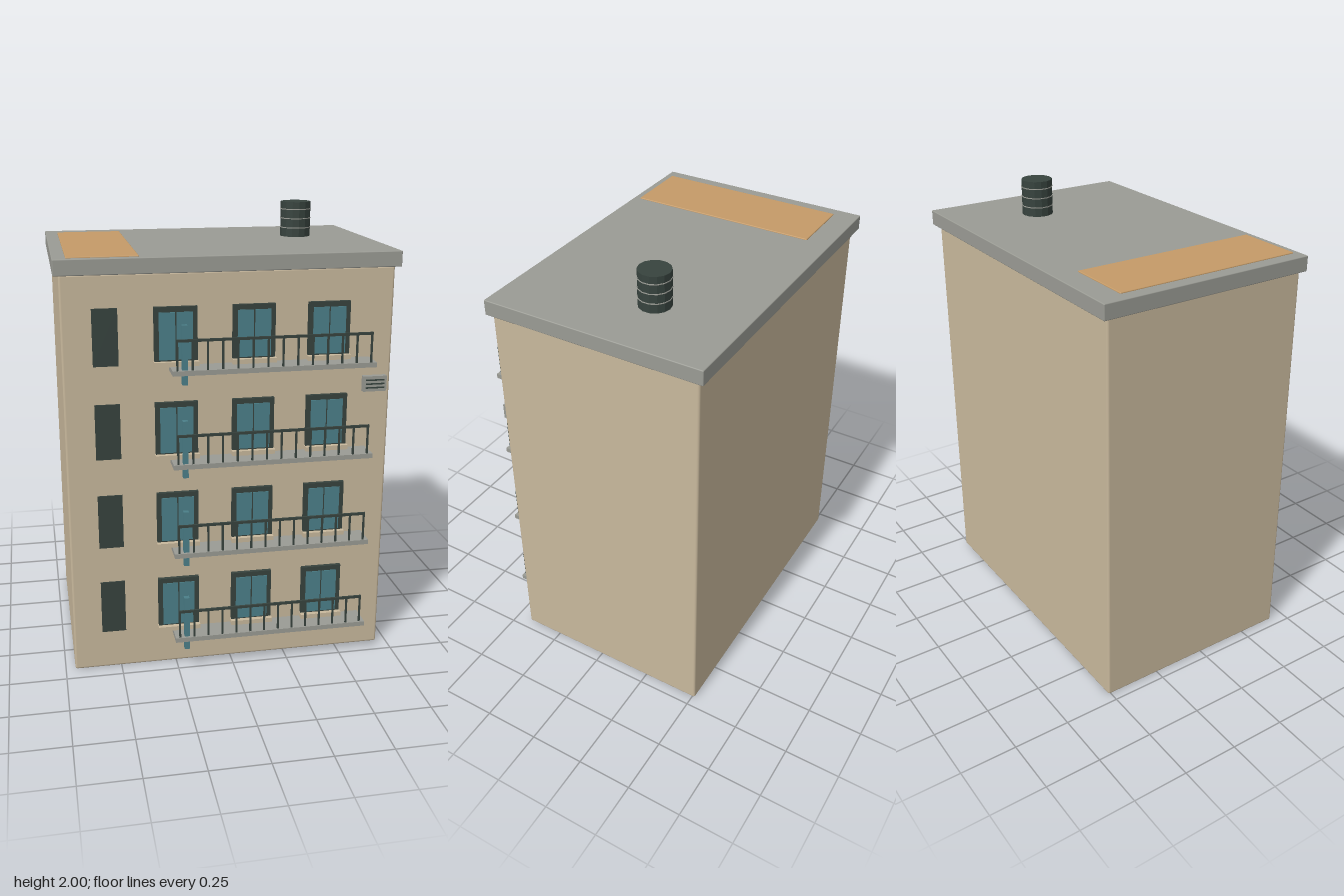
import * as THREE from 'three';
import { RoundedBoxGeometry } from 'three/addons/geometries/RoundedBoxGeometry.js';

const mat = (name, color) => {
  const m = new THREE.MeshStandardMaterial({ color });
  m.name = name;
  return m;
};

export function createModel() {
  const model = new THREE.Group();
  model.name = 'apartmentBlock';
  const plaster = mat('beige plaster', 0xc8b89c);
  const concrete = mat('grey concrete', 0x9a9b94);
  const iron = mat('dark iron', 0x37433e);
  const glass = mat('teal glass', 0x4b7f89);
  const terracotta = mat('orange clay', 0xc49a67);

  // Box given by its limits on each axis; a bevel softens its edges
  const box = (parent, name, material, [x0, x1], [y0, y1], [z0, z1], bevel = 0) => {
    const size = [x1 - x0, y1 - y0, z1 - z0];
    const geometry = bevel
      ? new RoundedBoxGeometry(...size, 2, bevel)
      : new THREE.BoxGeometry(...size);
    const mesh = new THREE.Mesh(geometry, material);
    mesh.name = name;
    mesh.position.set((x0 + x1) / 2, (y0 + y1) / 2, (z0 + z1) / 2);
    parent.add(mesh);
    return mesh;
  };

  // Main block, roof slab and the stair core that just breaks through the roof
  box(model, 'walls', plaster, [-0.708, 0.704], [0, 1.778], [-0.513, 0.427], 0.01);
  box(model, 'roofSlab', concrete, [-0.73, 0.727], [1.775, 1.842], [-0.54, 0.445], 0.004);
  box(model, 'stairCore', terracotta, [-0.675, -0.38], [0.004, 1.847], [-0.433, 0.415], 0.004);

  // Ribbed water tank on the roof
  const tank = new THREE.Group();
  tank.name = 'waterTank';
  tank.position.set(0.418, 0, -0.153);
  model.add(tank);
  const drum = (name, material, radius, y0, y1) => {
    const geometry = new THREE.CylinderGeometry(radius, radius, y1 - y0, 14).toNonIndexed();
    geometry.computeVertexNormals();
    const mesh = new THREE.Mesh(geometry, material);
    mesh.name = name;
    mesh.position.y = (y0 + y1) / 2;
    tank.add(mesh);
  };
  drum('tankBody', iron, 0.069, 1.84, 2);
  for (const y of [1.883, 1.925, 1.967]) drum('tankRing', concrete, 0.071, y - 0.002, y + 0.002);

  // One window: dark frame, two panes and a sill
  const addWindow = (parent, x) => {
    const win = new THREE.Group();
    win.name = 'window';
    win.position.x = x;
    parent.add(win);
    box(win, 'windowFrame', iron, [-0.091, 0.091], [0.18, 0.42], [0.42, 0.444]);
    for (const s of [-1, 1]) {
      const cx = s * 0.037;
      box(win, 'windowPane', glass, [cx - 0.034, cx + 0.034], [0.198, 0.398], [0.44, 0.448]);
    }
    box(win, 'windowSill', plaster, [-0.094, 0.094], [0.172, 0.192], [0.42, 0.465]);
  };

  // Balcony: slab, railing with evenly spaced bars, and a downpipe
  const addBalcony = (parent) => {
    const balcony = new THREE.Group();
    balcony.name = 'balcony';
    parent.add(balcony);
    box(balcony, 'balconySlab', concrete, [-0.266, 0.603], [0.15, 0.171], [0.42, 0.537]);
    box(balcony, 'handrail', iron, [-0.25, 0.584], [0.29, 0.301], [0.524, 0.533]);
    for (let i = 0; i < 14; i++) {
      const x = -0.246 + i * 0.0635;
      box(balcony, 'railingBar', iron, [x - 0.004, x + 0.004], [0.168, 0.295], [0.525, 0.532]);
    }
    box(balcony, 'downpipe', glass, [-0.225, -0.202], [0.108, 0.358], [0.502, 0.526]);
  };

  // Four identical floors
  for (let floor = 0; floor < 4; floor++) {
    const storey = new THREE.Group();
    storey.name = 'storey';
    storey.position.y = floor * 0.406;
    model.add(storey);
    box(storey, 'stairOpening', iron, [-0.582, -0.476], [0.178, 0.42], [0.42, 0.433]);
    for (const x of [-0.238, 0.093, 0.418]) addWindow(storey, x);
    addBalcony(storey);
  }

  // Air conditioner with dark louvres
  const cooler = new THREE.Group();
  cooler.name = 'airConditioner';
  model.add(cooler);
  box(cooler, 'coolerCase', concrete, [0.577, 0.682], [1.238, 1.306], [0.42, 0.452]);
  for (const y of [1.255, 1.272, 1.289])
    box(cooler, 'coolerLouvre', iron, [0.588, 0.671], [y - 0.003, y + 0.003], [0.449, 0.456]);

  return model;
}
